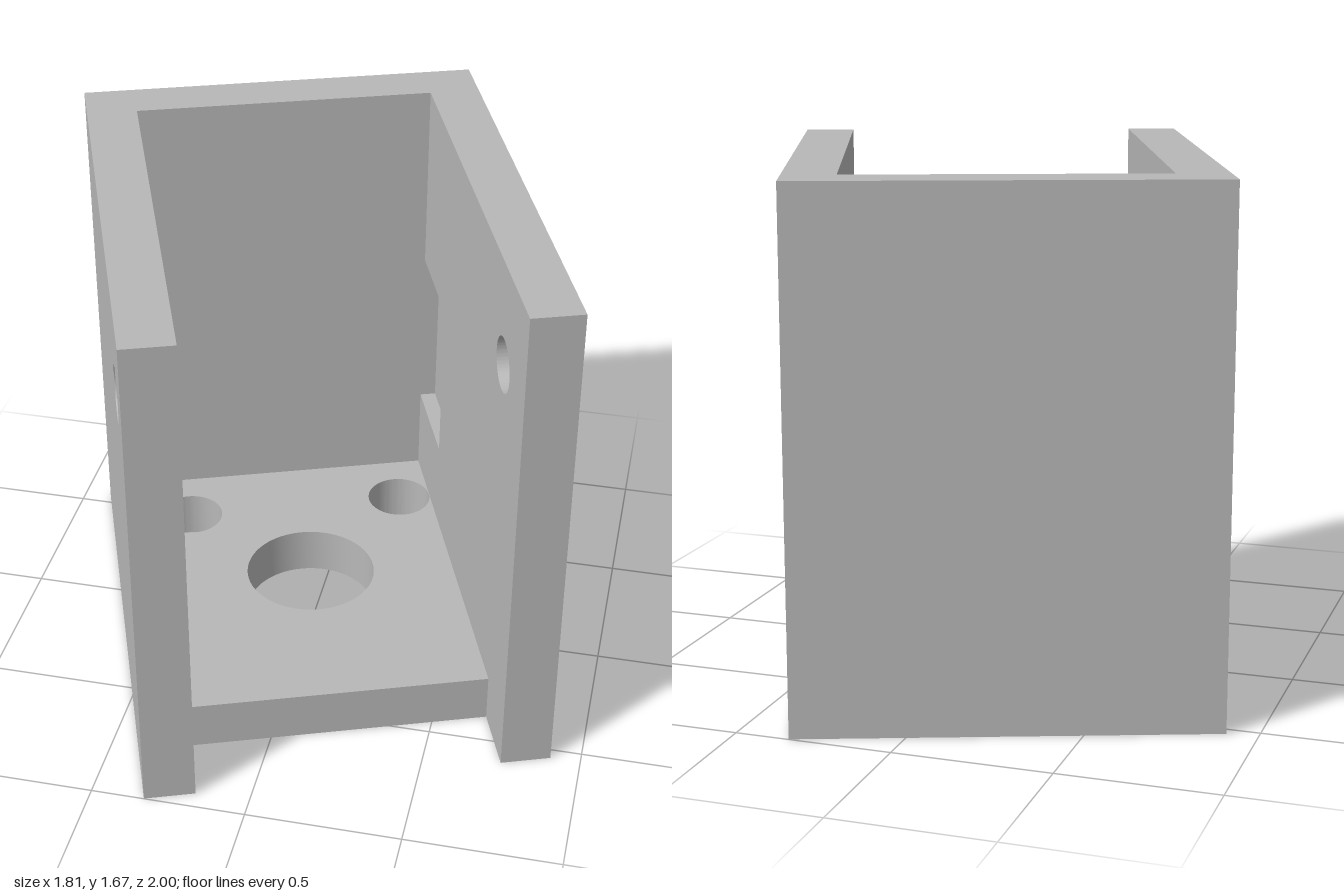
import * as THREE from 'three';
import { toCreasedNormals } from 'three/addons/utils/BufferGeometryUtils.js';

// Overall sizes in the bracket's own frame (x across, z towards the open front)
const HALF_W = 0.657, HALF_D = 0.821, HEIGHT = 1.67, T = 0.164;
const INNER_W = HALF_W - T, BACK = -HALF_D + T;
const POCKET = 0.054;
const TURN = 0.3583;

function rect(Type, x0, y0, x1, y1) {
  const p = new Type();
  p.moveTo(x0, y0);
  p.lineTo(x1, y0);
  p.lineTo(x1, y1);
  p.lineTo(x0, y1);
  p.closePath();
  return p;
}

function round(x, y, r) {
  return new THREE.Path().absarc(x, y, r, 0, Math.PI * 2, true);
}

function extrude(shape, depth) {
  const g = new THREE.ExtrudeGeometry(shape, { depth, bevelEnabled: false, curveSegments: 48 });
  return toCreasedNormals(g, 0.5);
}

// One vertical layer of a side wall, drawn in (-z, y) and extruded along x
function wallLayer(thickness, withPocket) {
  const shape = rect(THREE.Shape, -HALF_D, 0, HALF_D, HEIGHT);
  shape.holes.push(round(-0.545, 1.345, 0.088));
  if (withPocket) shape.holes.push(rect(THREE.Path, 0.30, 0.46, -BACK, 1.025));
  return extrude(shape, thickness).rotateY(Math.PI / 2);
}

export function createModel() {
  const model = new THREE.Group();
  model.name = 'openBracket';
  const body = new THREE.Group();
  body.name = 'bracketBody';
  body.rotation.y = TURN;
  model.add(body);

  const grey = new THREE.MeshStandardMaterial({ color: 0xb8b8b8 });
  grey.name = 'plain grey';

  const add = (name, geometry, x, y, z) => {
    const mesh = new THREE.Mesh(geometry, grey);
    mesh.name = name;
    mesh.position.set(x, y, z);
    body.add(mesh);
  };

  // Side walls: a solid outer layer and an inner layer with the pocket cut out
  const outer = wallLayer(T - POCKET, false);
  const inner = wallLayer(POCKET, true);
  add('leftWallOuter', outer, INNER_W + POCKET, 0, 0);
  add('leftWallInner', inner, INNER_W, 0, 0);
  add('rightWallOuter', outer, -HALF_W, 0, 0);
  add('rightWallInner', inner, -INNER_W - POCKET, 0, 0);

  // Back wall
  add('backWall', new THREE.BoxGeometry(INNER_W * 2, HEIGHT, T), 0, HEIGHT / 2, BACK - T / 2);

  // Floor plate with a central bore and two smaller holes, drawn in (x, -z)
  const floor = rect(THREE.Shape, -INNER_W, -0.598, INNER_W, -BACK);
  floor.holes.push(round(0, 0.056, 0.22));
  for (const s of [-1, 1]) floor.holes.push(round(s * 0.381, 0.44, 0.111));
  add('floor', extrude(floor, T).rotateX(-Math.PI / 2), 0, 0, 0);

  return model;
}
